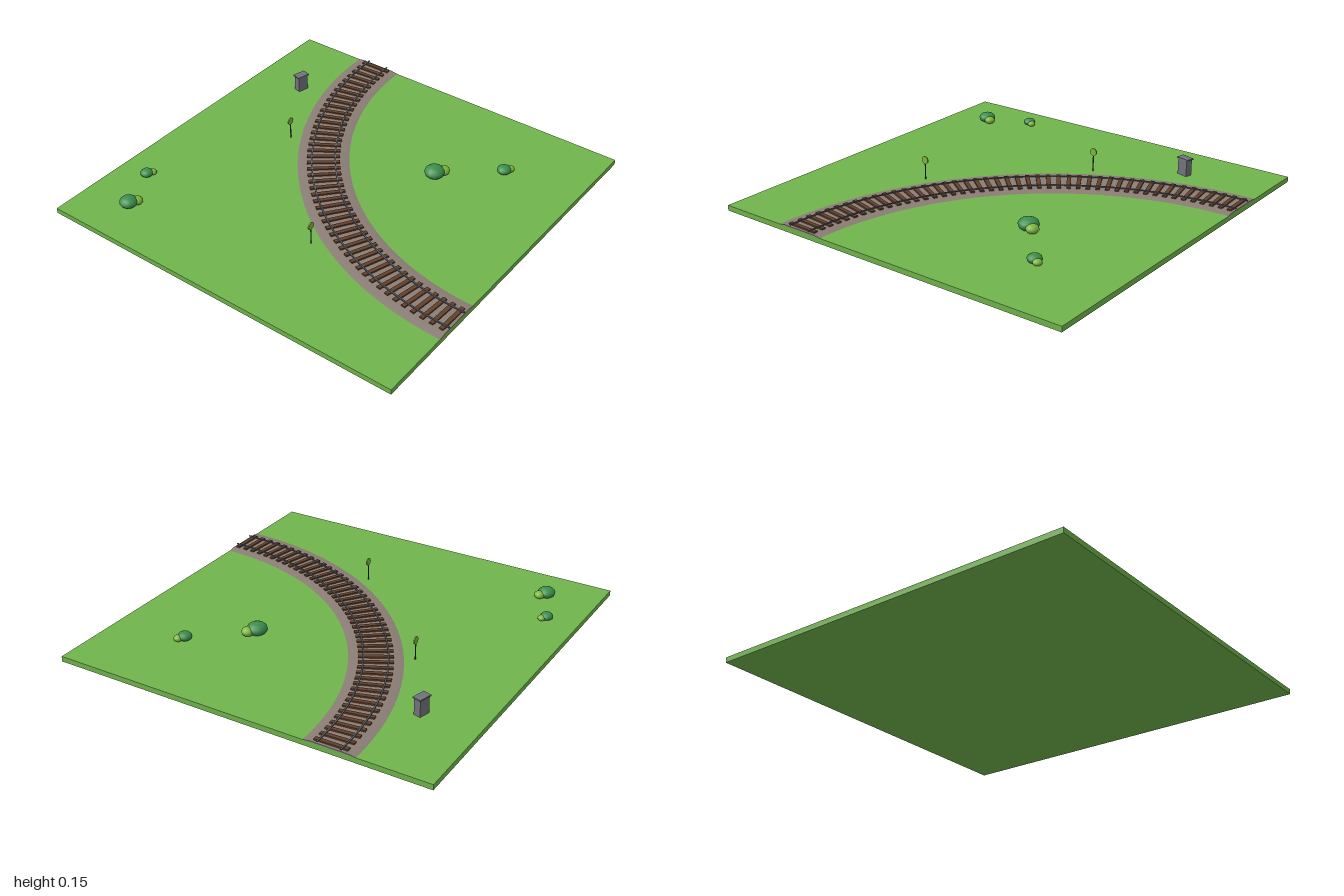
import * as THREE from 'three';
import { toCreasedNormals, mergeGeometries } from 'three/addons/utils/BufferGeometryUtils.js';

const GROUND = 0.028;
const RADIUS = 1.5; // track centre line, curving about the corner (1, 1)

function paint(name, color, extra = {}) {
  const m = new THREE.MeshStandardMaterial({ color, ...extra });
  m.name = name;
  return m;
}

export function createModel() {
  const model = new THREE.Group();
  model.name = 'curvedTrackTile';
  const both = { side: THREE.DoubleSide };
  const grass = paint('grass', 0x70b44c);
  const gravel = paint('gravel', 0x8a7d75, both);
  const wood = paint('wood', 0x633f2b);
  const steel = paint('steel', 0x5c6672, both);
  const leaf = paint('darkLeaf', 0x3b8f4d);
  const lime = paint('limeLeaf', 0x7eb83c);
  const post = paint('postGrey', 0x44484e);
  const cabinet = paint('cabinetGrey', 0x70737c);

  function add(parent, name, geometry, material, x = 0, y = 0, z = 0) {
    const mesh = new THREE.Mesh(geometry, material);
    mesh.name = name;
    mesh.position.set(x, y, z);
    parent.add(mesh);
    return mesh;
  }

  // Ground slab
  add(model, 'ground', new THREE.BoxGeometry(2, GROUND, 2), grass, 0, GROUND / 2, 0);

  // Sweep a cross-section (radius, height) through the quarter turn, with end caps
  function sweep(name, profile, material) {
    const pts = profile.map(([r, y]) => new THREE.Vector2(r, y));
    const skin = new THREE.LatheGeometry(pts, 64, Math.PI, Math.PI / 2);
    const caps = [Math.PI / 2, Math.PI].map(a => new THREE.ShapeGeometry(new THREE.Shape(pts)).rotateY(a));
    const merged = mergeGeometries([skin, ...caps]);
    add(track, name, toCreasedNormals(merged, 0.5), material);
  }

  const track = new THREE.Group();
  track.name = 'track';
  track.position.set(1, 0, 1);
  model.add(track);

  // Gravel bed with sloping shoulders
  sweep('gravelBed', [[1.633, GROUND], [1.595, 0.034], [1.405, 0.034], [1.367, GROUND]], gravel);

  // Two steel rails
  for (const [name, r] of [['outerRail', RADIUS + 0.06], ['innerRail', RADIUS - 0.06]]) {
    const w = 0.0035;
    sweep(name, [[r - w, 0.041], [r + w, 0.041], [r + w, 0.046], [r - w, 0.046], [r - w, 0.041]], steel);
  }

  // Wooden sleepers
  const TIES = 46;
  const tieShape = new THREE.BoxGeometry(0.17, 0.009, 0.021);
  for (let i = 0; i < TIES; i++) {
    const a = ((i + 0.5) / TIES) * Math.PI / 2;
    const tie = add(track, 'sleeper', tieShape, wood, -RADIUS * Math.cos(a), 0.037, -RADIUS * Math.sin(a));
    tie.rotation.y = -a;
  }

  // Round trackside signs on thin posts
  for (const [x, z] of [[-0.46, 0.157], [0.155, -0.46]]) {
    const sign = new THREE.Group();
    sign.name = 'sign';
    sign.position.set(x, 0, z);
    add(sign, 'signPost', new THREE.CylinderGeometry(0.003, 0.003, 0.105, 8), post, 0, 0.075, 0);
    const disc = new THREE.CylinderGeometry(0.02, 0.02, 0.006, 16).rotateX(Math.PI / 2);
    add(sign, 'signDisc', disc, lime, 0, 0.132, 0);
    model.add(sign);
  }

  // Equipment cabinet with a thin lid
  const box = new THREE.Group();
  box.name = 'cabinet';
  box.position.set(0.557, 0, -0.708);
  box.rotation.y = -0.26;
  add(box, 'cabinetBody', new THREE.BoxGeometry(0.06, 0.086, 0.038), cabinet, 0, 0.071, 0);
  add(box, 'cabinetLid', new THREE.BoxGeometry(0.072, 0.007, 0.046), cabinet, 0, 0.117, 0);
  model.add(box);

  // Bushes: a large dark mound with a smaller light one beside it
  const ball = new THREE.SphereGeometry(1, 12, 8);
  for (const [x, z, r] of [[-0.77, -0.735, 0.046], [-0.54, -0.835, 0.033], [0.33, 0.33, 0.053], [0.564, 0.597, 0.037]]) {
    const bush = new THREE.Group();
    bush.name = 'bush';
    bush.position.set(x, GROUND, z);
    add(bush, 'bushLarge', ball, leaf, 0, r * 0.5, 0).scale.set(r, r * 0.62, r);
    add(bush, 'bushSmall', ball, lime, r * 0.78, r * 0.4, r * 0.5).scale.set(r * 0.64, r * 0.45, r * 0.64);
    model.add(bush);
  }

  return model;
}
